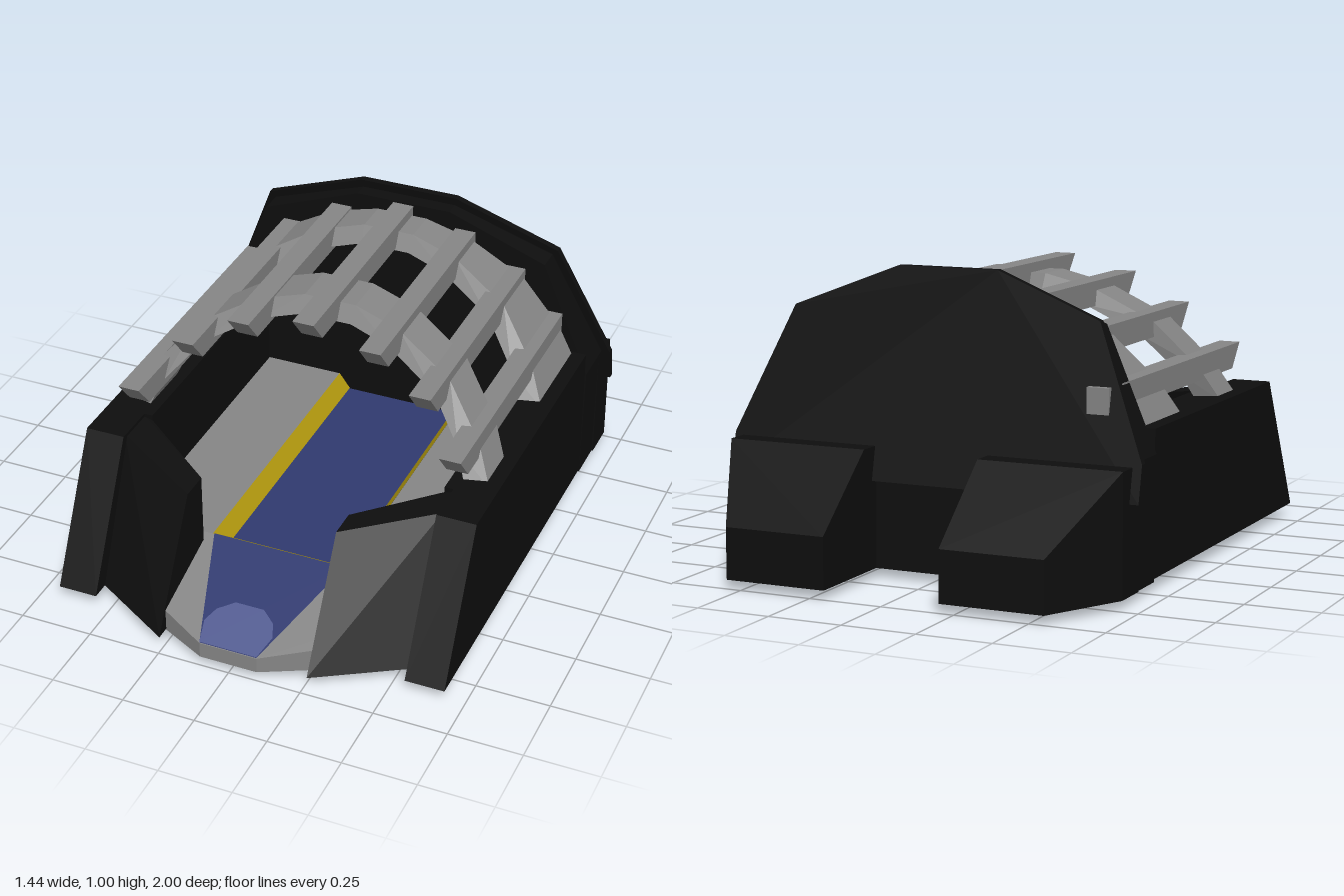
import * as THREE from 'three';
import { ConvexGeometry } from 'three/addons/geometries/ConvexGeometry.js';

const mat = (name, color) => {
  const m = new THREE.MeshStandardMaterial({ color });
  m.name = name;
  return m;
};

export function createModel() {
  const root = new THREE.Group();
  root.name = 'escapePod';
  const black = mat('black hull', 0x0e0e0e);
  const grey = mat('grey metal', 0x858585);
  const blue = mat('blue floor', 0x30396f);
  const paleBlue = mat('pale blue mark', 0x525b90);
  const yellow = mat('yellow trim', 0xb39a0f);

  const add = (name, geometry, material) => {
    const mesh = new THREE.Mesh(geometry, material);
    mesh.name = name;
    root.add(mesh);
    return mesh;
  };
  // Faceted convex solid from its corners
  const hull = (name, pts, material) =>
    add(name, new ConvexGeometry(pts.map(p => new THREE.Vector3(...p))), material);
  const box = (name, x0, x1, y0, y1, z0, z1, material) => {
    const g = new THREE.BoxGeometry(x1 - x0, y1 - y0, z1 - z0);
    g.translate((x0 + x1) / 2, (y0 + y1) / 2, (z0 + z1) / 2);
    return add(name, g, material);
  };
  // Flat convex face, corners counter-clockwise seen from its front
  const face = (name, pts, material) => {
    const pos = [];
    for (let i = 1; i < pts.length - 1; i++) pos.push(...pts[0], ...pts[i], ...pts[i + 1]);
    const g = new THREE.BufferGeometry();
    g.setAttribute('position', new THREE.Float32BufferAttribute(pos, 3));
    g.computeVertexNormals();
    return add(name, g, material);
  };
  const mirrored = pts => [...pts, ...pts.map(([x, ...r]) => [-x, ...r])];

  // Floor: base slab, sloped nose ramp, raised decks and a sunken aisle
  const rampY = z => 0.09 + (1 - z) * 0.3;
  const outline = [[0.1, 1], [0.28, 0.91], [0.48, 0.76], [0.61, 0.6]];
  hull('basePlate', mirrored([...outline, [0.61, -0.46]].flatMap(([x, z]) =>
    [[x, 0.035, z], [x, 0.08, z]])), grey);
  hull('noseRamp', mirrored(outline.flatMap(([x, z]) =>
    [[x, 0.04, z], [x, rampY(z), z]])), grey);
  const aisleY = 0.155;
  box('aisleFloor', -0.24, 0.24, 0.07, aisleY, -0.46, 0.6, blue);
  for (const s of [-1, 1]) {
    box('sideDeck', Math.min(s * 0.24, s * 0.56), Math.max(s * 0.24, s * 0.56), 0.07, 0.21, -0.46, 0.6, grey);
    const bevel = [
      [s * 0.24, 0.211, 0.6], [s * 0.2, aisleY + 0.002, 0.53],
      [s * 0.2, aisleY + 0.002, -0.46], [s * 0.24, 0.211, -0.46]
    ];
    face('aisleSideTrim', s < 0 ? bevel : bevel.reverse(), yellow);
  }
  face('aisleFrontTrim', [
    [-0.24, 0.211, 0.6], [0.24, 0.211, 0.6], [0.2, aisleY + 0.002, 0.53], [-0.2, aisleY + 0.002, 0.53]
  ], yellow);
  const onRamp = (pts, lift) => pts.map(([x, z]) => [x, rampY(z) + lift, z]);
  face('rampPanel', onRamp([[-0.1, 1], [0.1, 1], [0.235, 0.6], [-0.235, 0.6]], 0.003), blue);
  face('rampMark', onRamp([
    [-0.1, 1], [0.1, 1], [0.12, 0.92], [0.1, 0.87], [0.05, 0.83],
    [-0.05, 0.83], [-0.1, 0.87], [-0.12, 0.92]
  ], 0.006), paleBlue);

  // Side walls with raked fronts, inward front wings, and underside runners
  for (const s of [-1, 1]) {
    const side = pts => pts.map(([x, y, z]) => [s * x, y, z]);
    box('sideWall', Math.min(s * 0.52, s * 0.685), Math.max(s * 0.52, s * 0.685), 0.04, 0.52, -0.46, 0.46, black);
    const rake = [[0.52, 0.45], [0.52, 0.61], [0.37, 0.645], [0.04, 0.86], [0.04, 0.45]];
    hull('wallFront', side([0.55, 0.685].flatMap(x => rake.map(([y, z]) => [x, y, z]))), black);
    hull('frontWing', side([
      [0.56, 0.51, 0.45], [0.56, 0.51, 0.58], [0.56, 0.38, 0.6], [0.56, 0.04, 0.79], [0.52, 0.04, 0.46],
      [0.52, 0.5, 0.46], [0.26, 0.45, 0.63], [0.26, 0.45, 0.73], [0.26, 0.33, 0.75],
      [0.26, 0.04, 0.97], [0.26, 0.04, 0.63]
    ]), black);
    for (const [z0, z1, low] of [[0.47, 0.63, 0.02], [-0.05, 0.14, 0]])
      hull('undersideRunner', side([
        [0.505, 0.04, z0], [0.575, 0.04, z0], [0.54, low, z0 + 0.01],
        [0.505, 0.04, z1], [0.575, 0.04, z1], [0.54, low + 0.022, z1 - 0.01]
      ]), grey);
  }

  // Rear bulkhead with a leaning back plate
  const leanZ = y => -0.53 - (1 - y) * 0.22;
  hull('rearBulkhead', mirrored([[0.685, 0.03], [0.69, 0.44], [0.52, 0.84], [0.17, 0.97]].flatMap(([x, y]) =>
    [[x, y, -0.46], [x, y, Math.max(leanZ(y), -0.66) + 0.005]])), black);
  hull('backPlate', mirrored([[0.72, 0.32], [0.72, 0.44], [0.54, 0.86], [0.175, 1]].flatMap(([x, y]) =>
    [[x, y, leanZ(y)], [x, y, leanZ(y) + 0.025]])), black);

  // Twin rear pods
  for (const s of [-1, 1])
    hull('rearPod', [
      [0.2, 0.03, -0.6], [0.69, 0.03, -0.6], [0.2, 0.43, -0.6], [0.69, 0.43, -0.6],
      [0.2, 0.43, -0.73], [0.69, 0.43, -0.73], [0.69, 0.03, -0.73],
      [0.2, 0.2, -1], [0.55, 0.2, -1], [0.2, 0.03, -1], [0.55, 0.03, -1]
    ].map(([x, y, z]) => [s * x, y, z]), black);

  // Canopy ribs: bevelled arch segments that lean back as they rise
  const half = [[0.645, 0.5, 0.575, 0.48], [0.585, 0.62, 0.525, 0.6], [0.45, 0.78, 0.41, 0.735],
    [0.25, 0.89, 0.23, 0.835], [0.09, 0.932, 0.085, 0.875]];
  const arch = [...half, ...half.map(([a, b, c, d]) => [-a, b, -c, d]).reverse()];
  const ribSection = ([ox, oy, ix, iy], back, front) => {
    const lean = (0.935 - oy) * 0.5;
    const z0 = Math.max(back + lean * (back > -0.4 ? 1 : 0), -0.47), z1 = front + lean;
    return [[ix, iy, z0], [ix, iy, z1], [ox, oy, z0 + 0.02], [ox, oy, z1 - 0.03]];
  };
  for (const [back, front] of [[0, 0.2], [-0.47, -0.3]])
    for (let i = 0; i < arch.length - 1; i++)
      hull('canopyRib', [...ribSection(arch[i], back, front), ...ribSection(arch[i + 1], back, front)], grey);

  // Canopy bars with undercut front ends; one runs out through the back
  const bars = [[0, 0.922, 0.39, -0.48], [0.23, 0.87, 0.39, -0.48], [-0.23, 0.87, 0.39, -0.48],
    [0.415, 0.768, 0.425, -0.48], [-0.415, 0.768, 0.425, -0.48],
    [0.555, 0.622, 0.515, -0.48], [-0.56, 0.622, 0.54, -0.625]];
  for (const [x, y, front, back] of bars)
    hull('canopyBar', [-0.037, 0.037].flatMap(d => [
      [x + d, y + 0.042, front], [x + d, y - 0.042, front - 0.07],
      [x + d, y + 0.042, back], [x + d, y - 0.042, back]
    ]), grey);

  return root;
}
